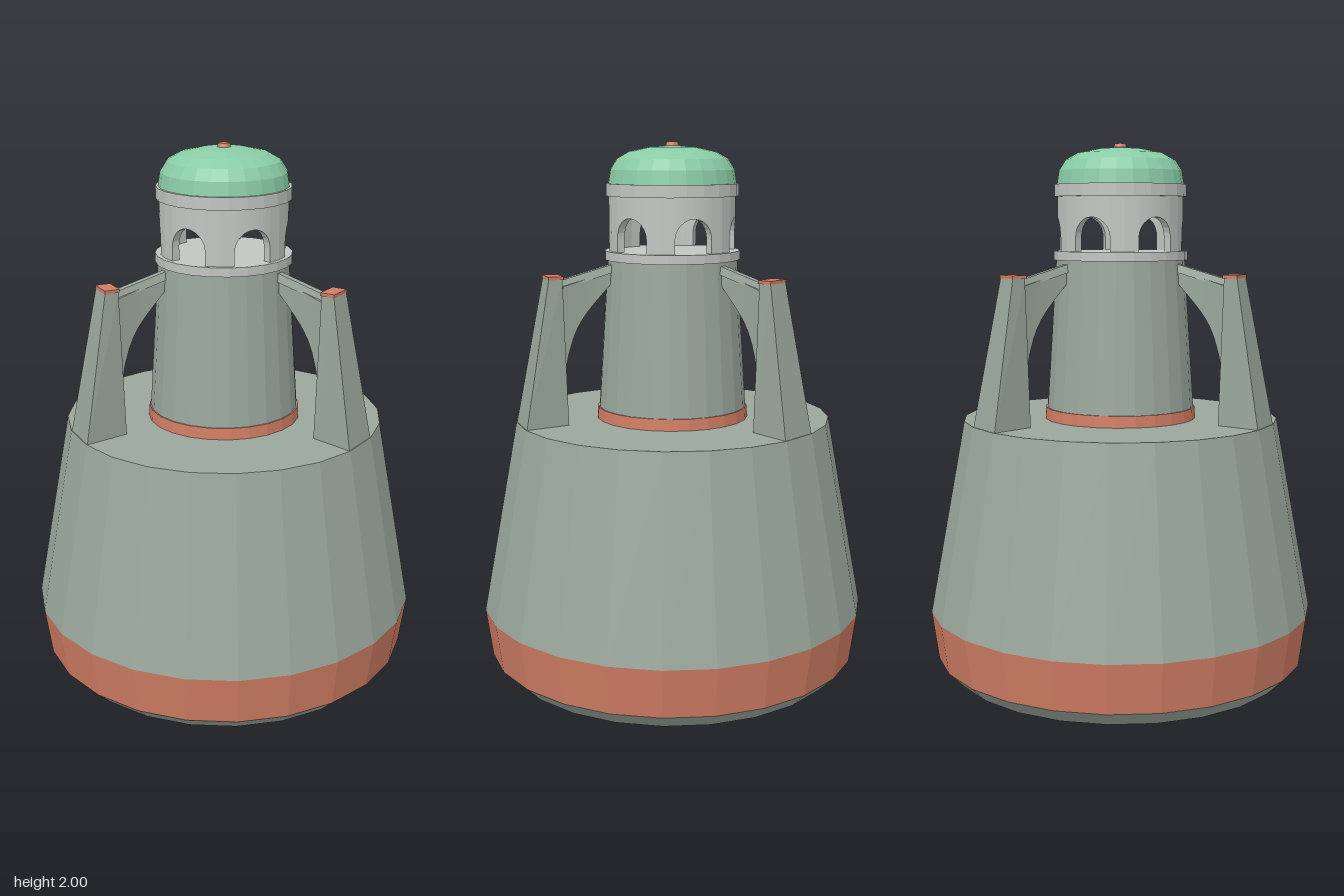
import * as THREE from 'three';

const stone = new THREE.MeshStandardMaterial({ color: 0x9aa79c });
stone.name = 'sage stone';
const clay = new THREE.MeshStandardMaterial({ color: 0xd07d64 });
clay.name = 'terracotta';
const green = new THREE.MeshStandardMaterial({ color: 0x8accA6 });
green.name = 'dome green';
const pale = new THREE.MeshStandardMaterial({ color: 0xc2c5c2 });
pale.name = 'pale grey';

const SIDES = 24;
const APOTHEM = Math.cos(Math.PI / SIDES);

// Faceted mesh
function facet(name, geometry, material) {
  const g = geometry.index ? geometry.toNonIndexed() : geometry;
  g.computeVertexNormals();
  const m = new THREE.Mesh(g, material);
  m.name = name;
  return m;
}

// Ring section with flat sides on the axes; radii measured to the flats
function drum(name, rLow, rHigh, yLow, yHigh, material) {
  const g = new THREE.CylinderGeometry(rHigh / APOTHEM, rLow / APOTHEM, yHigh - yLow,
    SIDES, 1, false, Math.PI / SIDES);
  g.translate(0, (yLow + yHigh) / 2, 0);
  return facet(name, g, material);
}

// Box whose unit coordinates are remapped by a rule
function shaped(name, segments, rule, material) {
  const g = new THREE.BoxGeometry(1, 1, 1, segments, 1, 1);
  const p = g.attributes.position;
  for (let i = 0; i < p.count; i++) {
    p.setXYZ(i, ...rule(p.getX(i) + 0.5, p.getY(i) + 0.5, Math.sign(p.getZ(i))));
  }
  return facet(name, g, material);
}

// Lantern wall: six bays, each with a round-topped opening
function arcade(yLow, yHigh) {
  const outer = 0.235, inner = 0.205, half = 0.302, spring = 1.655, rise = 0.075;
  const pos = [];
  const pt = (t, y, r) => [r * Math.sin(t), y, r * Math.cos(t)];
  const quad = (a, b, c, d) => pos.push(...a, ...b, ...c, ...a, ...c, ...d);
  const panel = (t0, t1, l0, l1) => {
    quad(pt(t0, l0, outer), pt(t1, l1, outer), pt(t1, yHigh, outer), pt(t0, yHigh, outer));
    quad(pt(t1, l1, inner), pt(t0, l0, inner), pt(t0, yHigh, inner), pt(t1, yHigh, inner));
  };
  const N = 12;
  for (let bay = 0; bay < 6; bay++) {
    const c = bay * Math.PI / 3;
    const l = c - half, r = c + half;
    panel(c - Math.PI / 6, l, yLow, yLow);
    panel(r, c + Math.PI / 6, yLow, yLow);
    // jambs
    quad(pt(l, yLow, outer), pt(l, yLow, inner), pt(l, spring, inner), pt(l, spring, outer));
    quad(pt(r, yLow, inner), pt(r, yLow, outer), pt(r, spring, outer), pt(r, spring, inner));
    // arch head and soffit
    for (let i = 0; i < N; i++) {
      const a0 = Math.PI * i / N, a1 = Math.PI * (i + 1) / N;
      const t0 = c - half * Math.cos(a0), t1 = c - half * Math.cos(a1);
      const y0 = spring + rise * Math.sin(a0), y1 = spring + rise * Math.sin(a1);
      panel(t0, t1, y0, y1);
      quad(pt(t0, y0, outer), pt(t0, y0, inner), pt(t1, y1, inner), pt(t1, y1, outer));
    }
  }
  const g = new THREE.BufferGeometry();
  g.setAttribute('position', new THREE.Float32BufferAttribute(pos, 3));
  return facet('lanternArcade', g, pale);
}

// Buttress along +x: tapered pylon, cap and flying strut
function buttress() {
  const b = new THREE.Group();
  const mix = THREE.MathUtils.lerp;
  b.add(shaped('pylon', 1, (x, y, s) => [
    x ? mix(0.588, 0.487, y) : mix(0.42, 0.435, y),
    mix(0.97, 1.512, y),
    s * (x ? mix(0.08, 0.045, y) : mix(0.045, 0.04, y))
  ], stone));
  b.add(shaped('pylonCap', 1, (x, y, s) => [
    mix(0.432, 0.488, x), mix(1.512, 1.524, y), s * 0.046
  ], clay));
  b.add(shaped('strutBar', 1, (x, y, s) => [
    mix(0.235, 0.44, x), mix(1.56, 1.505, x) - (1 - y) * 0.03, s * (y ? 0.013 : 0.02)
  ], stone));
  b.add(shaped('strutArch', 10, (x, y, s) => [
    mix(0.24, 0.432, x),
    y ? mix(1.535, 1.485, x) : 1.49 - 0.2 * x - 0.14 * x ** 6,
    s * mix(0.012, 0.033, x * x)
  ], stone));
  return b;
}

export function createModel() {
  const model = new THREE.Group();
  model.name = 'tower';

  // Base
  model.add(drum('baseFoot', 0.64, 0.70, 0, 0.06, stone));
  model.add(drum('baseBand', 0.70, 0.725, 0.06, 0.245, clay));
  model.add(drum('baseCone', 0.725, 0.59, 0.245, 0.975, stone));

  // Tower shaft
  model.add(drum('shaftBand', 0.284, 0.281, 0.975, 1.018, clay));
  model.add(drum('shaft', 0.276, 0.24, 1.018, 1.575, stone));
  model.add(drum('galleryRing', 0.25, 0.25, 1.572, 1.605, pale));

  // Lantern
  model.add(arcade(1.605, 1.805));
  model.add(drum('lanternCornice', 0.245, 0.245, 1.805, 1.85, pale));

  // Dome
  const profile = [[0.238, 1.85], [0.23, 1.9], [0.205, 1.94], [0.16, 1.965], [0.09, 1.98], [0, 1.988]]
    .map(([r, y]) => new THREE.Vector2(r, y));
  model.add(facet('dome', new THREE.LatheGeometry(profile, SIDES, Math.PI / SIDES), green));
  model.add(drum('domeKnob', 0.027, 0.02, 1.978, 2, clay));

  // Three buttresses
  for (let i = 0; i < 3; i++) {
    const b = buttress();
    b.name = 'buttress' + (i + 1);
    b.rotation.y = i * Math.PI * 2 / 3;
    model.add(b);
  }
  return model;
}
